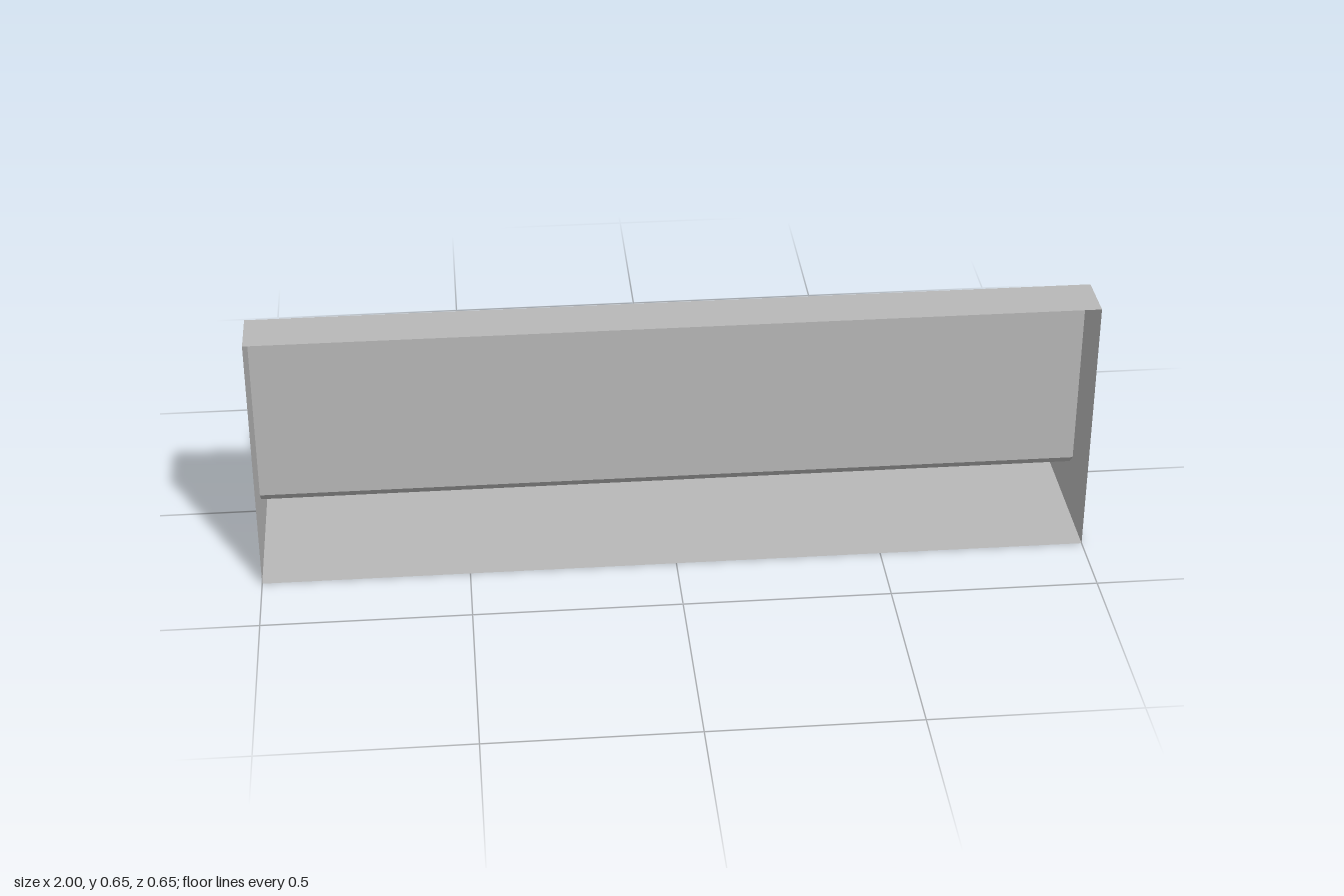
import * as THREE from 'three';

// Skins a [z, y] profile through stations along x, and closes both ends.
// Each station lists the profile points as [x, y, z].
function loft(stations) {
  const pos = [];
  for (let s = 0; s < stations.length - 1; s++) {
    const a = stations[s], b = stations[s + 1];
    for (let i = 0; i < a.length - 1; i++) {
      pos.push(...a[i], ...b[i], ...b[i + 1], ...a[i], ...b[i + 1], ...a[i + 1]);
    }
  }
  for (const ring of [stations[0], stations[stations.length - 1]]) {
    const outline = ring.map(p => new THREE.Vector2(p[2], p[1]));
    for (const tri of THREE.ShapeUtils.triangulateShape(outline, [])) {
      for (const k of tri) pos.push(...ring[k]);
    }
  }
  const geo = new THREE.BufferGeometry();
  geo.setAttribute('position', new THREE.Float32BufferAttribute(pos, 3));
  geo.computeVertexNormals();
  return geo;
}

export function createModel() {
  const group = new THREE.Group();
  const grey = new THREE.MeshStandardMaterial({ color: 0xb8b8b8, side: THREE.DoubleSide });
  grey.name = 'light grey';
  const teal = new THREE.MeshStandardMaterial({ color: 0x387a96, side: THREE.DoubleSide });
  teal.name = 'teal';

  const add = (name, geo, mat) => {
    const mesh = new THREE.Mesh(geo, mat);
    mesh.name = name;
    group.add(mesh);
  };

  // Hollow L-shaped body, open at the front; the rear edge steps in at one end.
  // Stations: x, rear z, x of the chamfer edge, z of the chamfer edge
  const body = [
    [-1, -0.325, -1, -0.295], [0.805, -0.325, 0.805, -0.295],
    [0.915, -0.165, 0.9, -0.145], [1, -0.136, 1, -0.105],
  ].map(([x, zb, xc, zc]) => [
    [x, 0.655, 0.325], [x, 0.655, 0.2], [x, 0.627, 0.17], [x, 0.153, 0.17],
    [x, 0.125, 0.143], [xc, 0.125, zc], [x, 0.097, zb], [x, 0.03, zb],
    [xc, 0, zc], [x, 0, 0.325],
  ]);
  add('body', loft(body), grey);

  // Raised panel that bends from the wall onto the shelf
  const panel = [
    [-0.95, -0.272], [0.588, -0.272], [0.725, -0.08], [0.95, -0.072],
  ].map(([x, zb]) => [
    [x, 0.598, 0.17], [x, 0.598, 0.158], [x, 0.17, 0.158], [x, 0.145, 0.133],
    [x, 0.145, zb], [x, 0.125, zb], [x, 0.125, 0.143], [x, 0.153, 0.17],
  ]);
  // The last two points only shape the ends, so the hidden underside stays open
  const geo = loft(panel);
  add('panel', dropUnderside(geo, panel), teal);

  // Four-cornered plate on the wall panel
  const plate = new THREE.Shape([
    [0.8, 0.557], [0.607, 0.46], [0.565, 0.217], [0.89, 0.37],
  ].map(p => new THREE.Vector2(...p)));
  const plateGeo = new THREE.ExtrudeGeometry(plate, { depth: 0.02, bevelEnabled: false });
  plateGeo.translate(0, 0, 0.14);
  add('wallPlate', plateGeo, teal);

  return group;
}

// Collapses the skin between the last three profile points (the hidden underside).
function dropUnderside(geo, stations) {
  const src = geo.attributes.position.array;
  const perSpan = (stations[0].length - 1) * 18;
  const skin = perSpan * (stations.length - 1);
  const kept = Array.from(src).filter((v, i) => i >= skin || i % perSpan < perSpan - 36);
  const out = new THREE.BufferGeometry();
  out.setAttribute('position', new THREE.Float32BufferAttribute(kept, 3));
  out.computeVertexNormals();
  return out;
}
